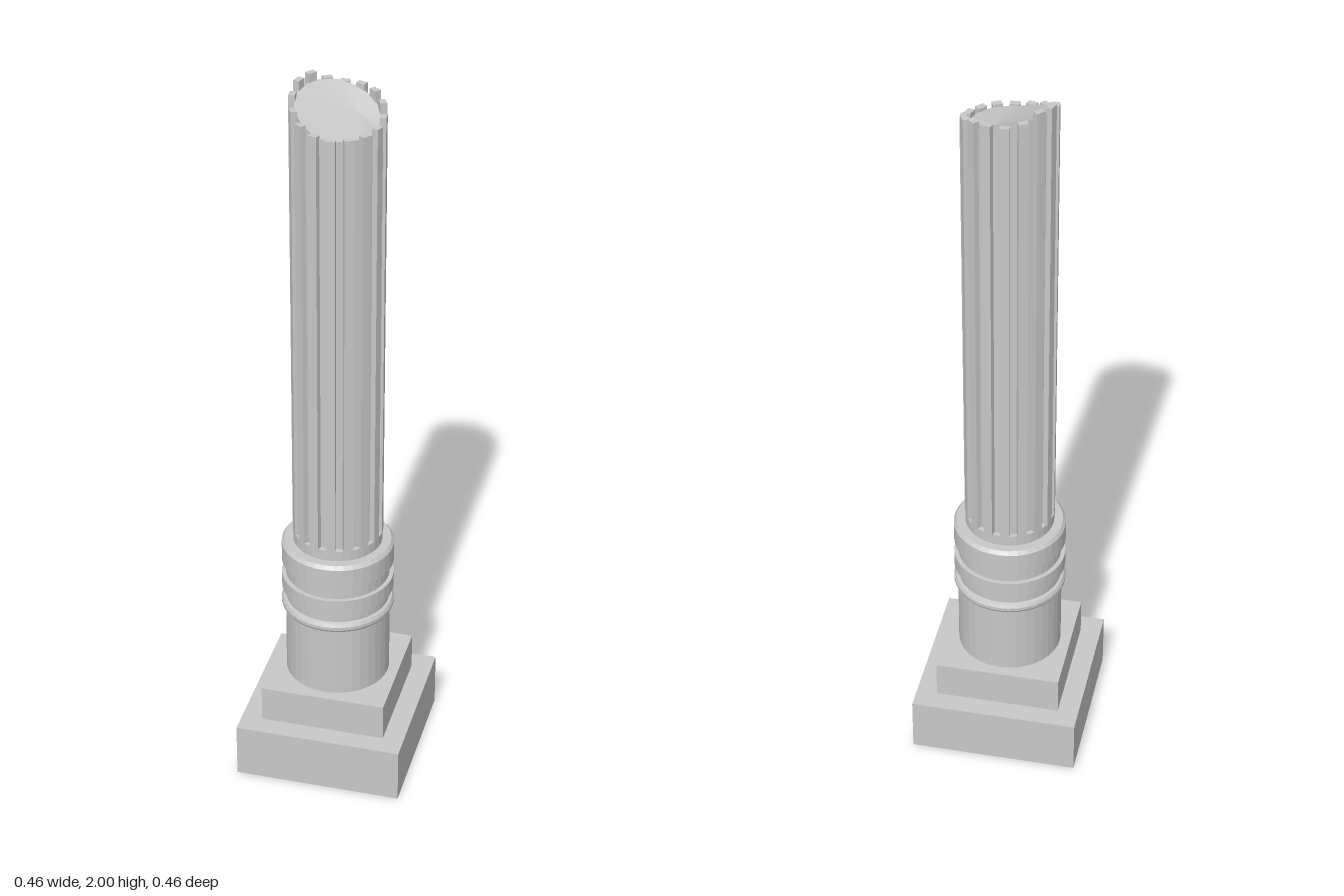
import * as THREE from 'three';

const stone = new THREE.MeshStandardMaterial({ color: 0xc8c8c8 });
stone.name = 'grey stone';

// Give every face its own normal
function faceted(geometry) {
  const flat = geometry.toNonIndexed();
  flat.computeVertexNormals();
  return flat;
}

function addPart(parent, name, geometry) {
  const mesh = new THREE.Mesh(geometry, stone);
  mesh.name = name;
  parent.add(mesh);
  return mesh;
}

function addBlock(parent, name, width, bottom, top) {
  const block = addPart(parent, name, new THREE.BoxGeometry(width, top - bottom, width));
  block.position.y = (bottom + top) / 2;
}

// Height of the slanted break across the shaft
const breakHeight = (x, z) => Math.max(1.902, 1.935 - 0.27 * x - 0.3 * z);

export function createModel() {
  const column = new THREE.Group();
  column.name = 'brokenColumn';

  // Stepped square foot
  addBlock(column, 'lowerPlinth', 0.46, 0, 0.155);
  addBlock(column, 'upperPlinth', 0.345, 0.155, 0.26);

  // Round pedestal with its stacked mouldings and the plain collar of the shaft
  const profile = [
    [0.143, 0.26], [0.143, 0.468], [0.15, 0.47], [0.154, 0.477], [0.154, 0.486], [0.149, 0.495],
    [0.141, 0.497], [0.141, 0.53], [0.153, 0.53], [0.153, 0.573], [0.141, 0.573],
    [0.141, 0.615], [0.153, 0.615], [0.153, 0.672], [0.145, 0.682],
    [0.121, 0.682], [0.121, 0.712], [0.1, 0.712],
  ].map(([r, y]) => new THREE.Vector2(r, y));
  addPart(column, 'pedestal', faceted(new THREE.LatheGeometry(profile, 36)));

  // Shaft core: the top rim follows the break and the cap dips to an off-centre point
  const coreGeometry = new THREE.CylinderGeometry(0.108, 0.108, 1, 32);
  const p = coreGeometry.attributes.position;
  for (let i = 0; i < p.count; i++) {
    const x = p.getX(i), z = p.getZ(i);
    if (p.getY(i) < 0) p.setY(i, 0.7);
    else if (Math.hypot(x, z) < 0.01) p.setXYZ(i, 0.04, 1.922, -0.037);
    else p.setY(i, breakHeight(x, z));
  }
  addPart(column, 'shaftCore', faceted(coreGeometry));

  // Raised ribs, each snapped off at its own height
  const ribTops = [
    1.93, 1.918, 1.912, 1.91, 1.908, 1.915, 1.93, 1.95,
    1.975, 1.995, 2.0, 1.98, 1.97, 1.97, 1.965, 1.95,
  ];
  const ribs = new THREE.Group();
  ribs.name = 'ribs';
  column.add(ribs);
  ribTops.forEach((top, i) => {
    const angle = THREE.MathUtils.degToRad(22.5 * i - 5.5);
    const rib = addPart(ribs, 'rib', new THREE.BoxGeometry(0.017, top - 0.71, 0.025));
    rib.position.set(0.1135 * Math.cos(angle), (top + 0.71) / 2, 0.1135 * Math.sin(angle));
    rib.rotation.y = -angle;
  });

  return column;
}
